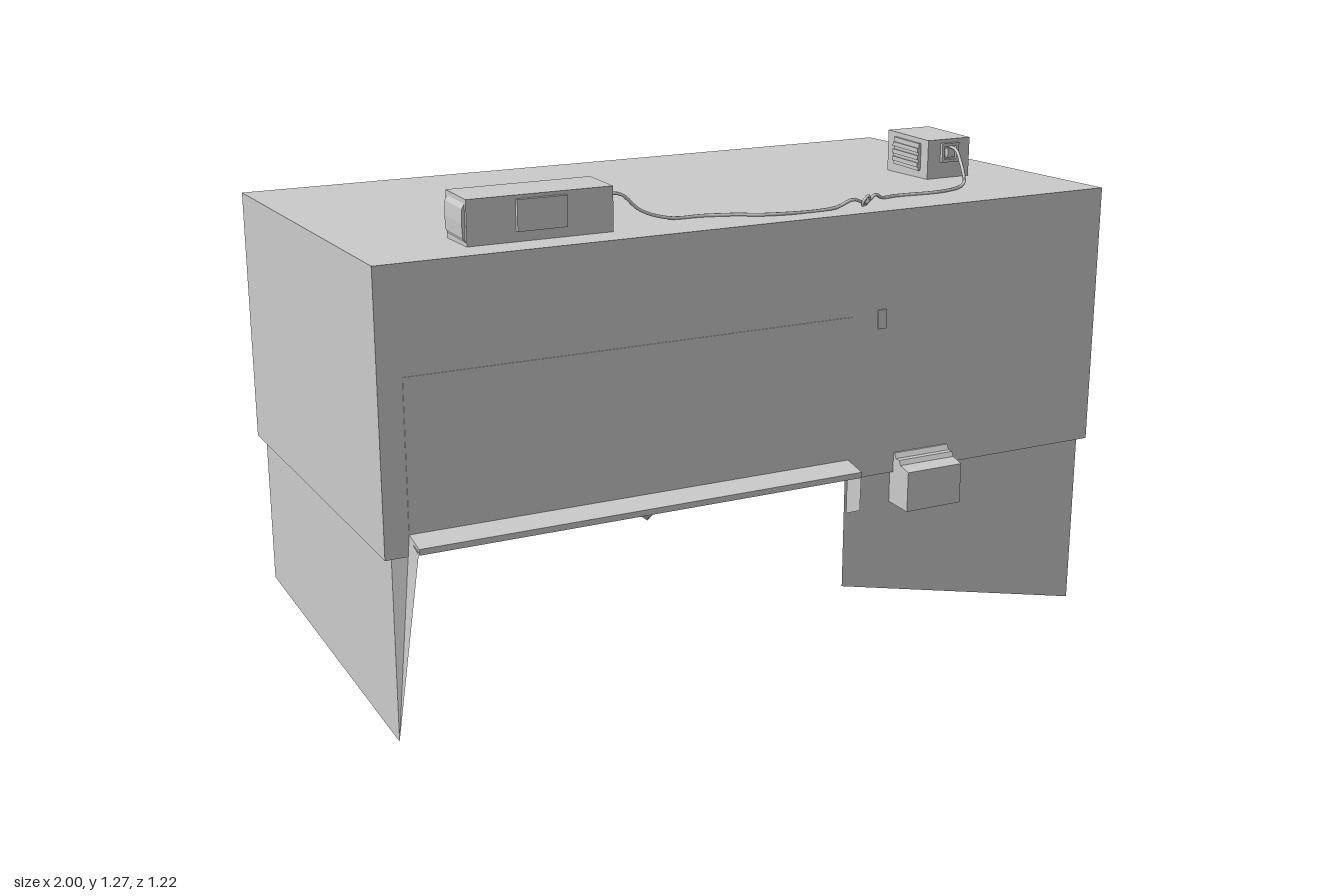
import * as THREE from 'three';

const grey = new THREE.MeshStandardMaterial({ color: 0xcccccc, side: THREE.DoubleSide });

function add(parent, name, geometry, x = 0, y = 0, z = 0) {
  const m = new THREE.Mesh(geometry, grey);
  m.name = name;
  m.position.set(x, y, z);
  parent.add(m);
  return m;
}

// box given by its minimum and maximum corners
function block(parent, name, [x0, y0, z0], [x1, y1, z1]) {
  return add(parent, name, new THREE.BoxGeometry(x1 - x0, y1 - y0, z1 - z0),
    (x0 + x1) / 2, (y0 + y1) / 2, (z0 + z1) / 2);
}

// flat convex sheet, corners counter-clockwise from outside
function sheet(parent, name, pts) {
  const pos = [];
  for (let i = 1; i < pts.length - 1; i++) pos.push(...pts[0], ...pts[i], ...pts[i + 1]);
  const g = new THREE.BufferGeometry();
  g.setAttribute('position', new THREE.Float32BufferAttribute(pos, 3));
  g.computeVertexNormals();
  return add(parent, name, g);
}

// four walls, each corner column is [x, z, bottom, top]
function walls(parent, name, columns, skip = -1) {
  columns.forEach((a, i) => {
    if (i === skip) return;
    const b = columns[(i + 1) % columns.length];
    sheet(parent, name, [[a[0], a[2], a[1]], [b[0], b[2], b[1]], [b[0], b[3], b[1]], [a[0], a[3], a[1]]]);
  });
}

// profile of [z, y] points swept along x
function sweepX(parent, name, profile, x0, x1) {
  const shape = new THREE.Shape(profile.map(([z, y]) => new THREE.Vector2(-z, y)));
  const g = new THREE.ExtrudeGeometry(shape, { depth: x1 - x0, bevelEnabled: false });
  g.rotateY(Math.PI / 2);
  return add(parent, name, g, x0, 0, 0);
}

// device lying along its local x axis, socket at +x and domed cap at -x
function device(name, length, height, width) {
  const g = new THREE.Group();
  g.name = name;
  block(g, 'deviceCase', [-length / 2, 0, -width / 2], [length / 2, height, width / 2]);
  // domed end cap
  const cap = [[0, 0.1], [0.006, 0.2], [0.008, 0.5], [0.006, 0.8], [0, 0.9]]
    .map(([d, t]) => new THREE.Vector2(-length / 2 - d, height * t));
  const capG = new THREE.ExtrudeGeometry(new THREE.Shape(cap), { depth: width * 0.86, bevelEnabled: false });
  add(g, 'endCap', capG, 0, 0, -width * 0.43);
  // socket frame and plug
  const x = length / 2, cy = height * 0.68;
  for (const s of [-1, 1]) {
    block(g, 'socketFrame', [x, cy - 0.026, s * 0.023 - 0.004], [x + 0.01, cy + 0.026, s * 0.023 + 0.004]);
    block(g, 'socketFrame', [x, cy + s * 0.022 - 0.004, -0.025], [x + 0.01, cy + s * 0.022 + 0.004, 0.025]);
  }
  block(g, 'plug', [x, cy - 0.012, -0.012], [x + 0.014, cy + 0.012, 0.012]);
  return g;
}

export function createModel() {
  const model = new THREE.Group();
  model.name = 'shelter';

  // upper shell, slightly sloped to the back, open below
  const shell = new THREE.Group();
  shell.name = 'upperShell';
  model.add(shell);
  walls(shell, 'upperWall', [[-1, 0.54, 0.472, 1.168], [1, 0.54, 0.472, 1.168],
    [1, -0.61, 0.43, 1.125], [-1, -0.61, 0.43, 1.125]]);
  sheet(shell, 'roof', [[-1, 1.168, 0.54], [1, 1.168, 0.54], [1, 1.125, -0.61], [-1, 1.125, -0.61]]);

  // lower skirt with a cut-away front
  const skirt = new THREE.Group();
  skirt.name = 'lowerSkirt';
  model.add(skirt);
  walls(skirt, 'lowerWall', [[-0.98, 0.525, 0, 0.48], [0.98, 0.525, 0, 0.48],
    [0.98, -0.595, 0, 0.44], [-0.98, -0.595, 0, 0.44]], 0);
  sheet(skirt, 'lowerFrontWall', [[0.24, 0.17, 0.525], [0.98, 0, 0.525], [0.98, 0.48, 0.525], [0.24, 0.48, 0.525]]);
  sheet(skirt, 'frontFlap', [[-0.98, 0, 0.525], [-0.94, 0.5, 0.605], [-0.94, 0.52, 0.54], [-0.98, 0.48, 0.525]]);
  sheet(skirt, 'sideFlap', [[0.238, 0.38, 0.54], [0.238, 0.41, 0.605], [0.238, 0.5, 0.608], [0.238, 0.52, 0.54]]);

  // front window panel with its frame on the inside
  block(model, 'windowPanel', [-0.94, 0.52, 0.53], [0.24, 0.905, 0.542]);
  for (const x of [-0.93, -0.35, 0.23]) {
    block(model, 'windowPost', [x - 0.014, 0.5, 0.5], [x + 0.014, 0.905, 0.535]);
  }
  block(model, 'windowRail', [-0.94, 0.885, 0.5], [0.24, 0.905, 0.535]);
  block(model, 'windowSill', [-0.94, 0.49, 0.49], [0.24, 0.515, 0.535]);

  // sloping ledge under the window and its catch
  sweepX(model, 'ledge', [[0.54, 0.527], [0.61, 0.515], [0.61, 0.5], [0.602, 0.5], [0.598, 0.508], [0.54, 0.515]], -0.94, 0.238);
  const catchG = new THREE.ConeGeometry(0.028, 0.022, 4);
  catchG.rotateX(Math.PI);
  catchG.scale(1, 1, 0.5);
  add(model, 'catch', catchG, -0.355, 0.49, 0.59);

  // latch box on the front
  sweepX(model, 'latchBox', [[0.52, 0.385], [0.612, 0.385], [0.612, 0.492], [0.575, 0.5], [0.568, 0.512],
    [0.553, 0.512], [0.545, 0.525], [0.52, 0.525]], 0.377, 0.54);
  block(model, 'latchPlate', [0.315, 0.865, 0.54], [0.34, 0.915, 0.544]);

  // long device on the roof, with side plates
  const longBox = device('longDevice', 0.37, 0.115, 0.134);
  longBox.position.set(-0.556, 1.16, 0.375);
  for (const s of [-1, 1]) block(longBox, 'sidePlate', [-0.063, 0.03, s * 0.072 - 0.006], [0.063, 0.106, s * 0.072 + 0.006]);
  model.add(longBox);

  // short device, turned so that its socket faces the front, with slatted sides
  const shortBox = device('shortDevice', 0.2, 0.113, 0.134);
  shortBox.position.set(0.755, 1.148, 0.083);
  shortBox.rotation.y = -Math.PI / 2;
  for (const s of [-1, 1]) {
    block(shortBox, 'sidePlate', [-0.06, 0.025, s * 0.07 - 0.004], [0.065, 0.1, s * 0.07 + 0.004]);
    for (const y of [0.035, 0.055, 0.075]) {
      block(shortBox, 'slat', [-0.06, y, s * 0.075 - 0.003], [0.065, y + 0.012, s * 0.075 + 0.003]);
    }
  }
  model.add(shortBox);

  // cable between the devices
  const path = [[-0.37, 1.242, 0.372], [-0.32, 1.238, 0.373], [-0.27, 1.195, 0.375], [-0.19, 1.168, 0.376],
    [-0.1, 1.166, 0.38], [-0.03, 1.168, 0.41], [0.04, 1.17, 0.455], [0.23, 1.17, 0.46], [0.285, 1.186, 0.457],
    [0.325, 1.172, 0.45], [0.365, 1.186, 0.43], [0.41, 1.168, 0.395], [0.46, 1.166, 0.38], [0.6, 1.166, 0.385],
    [0.69, 1.167, 0.345], [0.74, 1.18, 0.28], [0.755, 1.21, 0.24], [0.756, 1.235, 0.22], [0.756, 1.242, 0.18]];
  const curve = new THREE.CatmullRomCurve3(path.map(p => new THREE.Vector3(...p)));
  add(model, 'cable', new THREE.TubeGeometry(curve, 90, 0.0045, 6));
  // loose knot in the cable
  const knot = add(model, 'cableKnot', new THREE.TorusGeometry(0.014, 0.004, 6, 14), 0.325, 1.178, 0.452);
  knot.rotation.set(0.5, 0.5, 0);

  return model;
}
